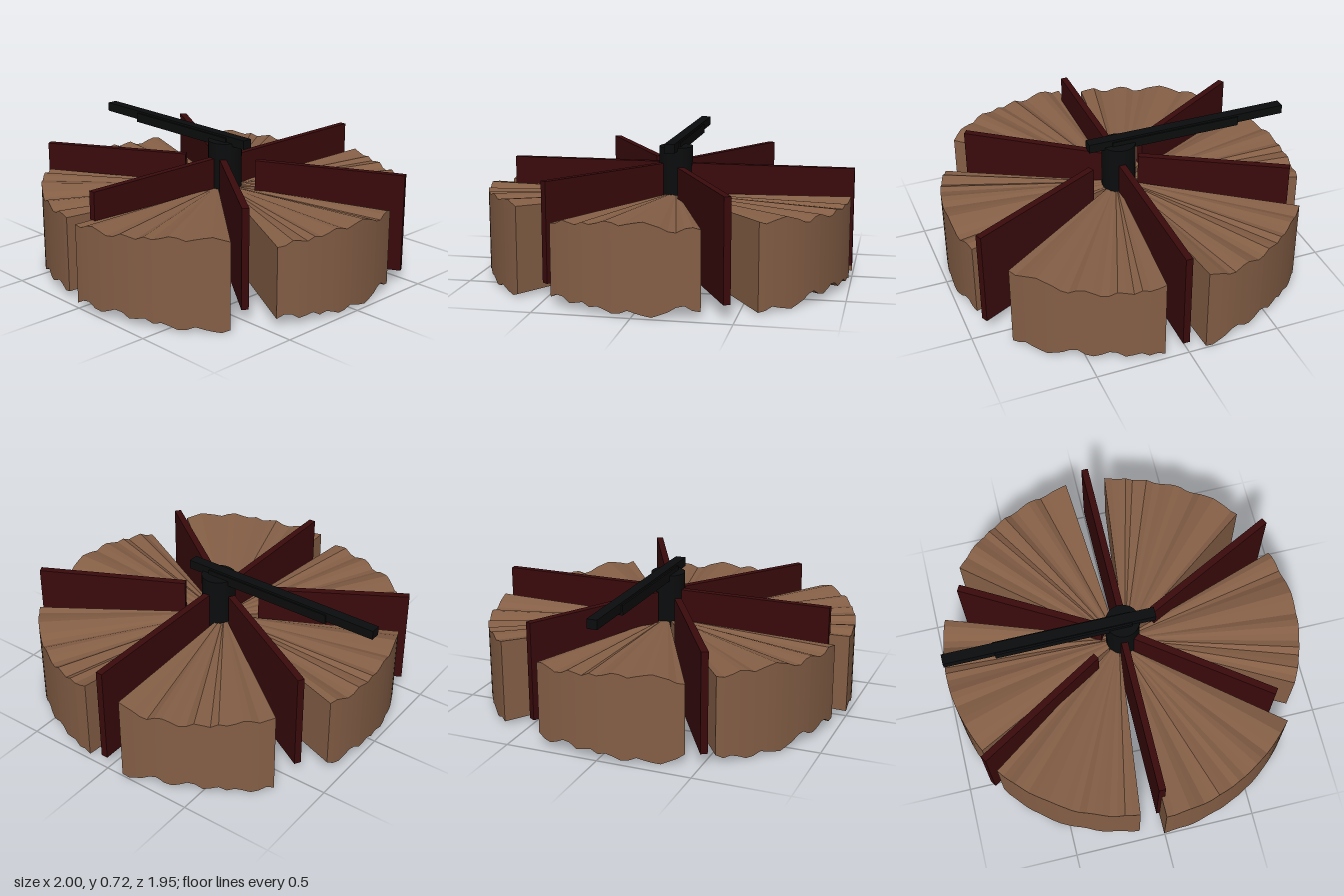
import * as THREE from 'three';

const RADIUS = 0.983;
const rad = THREE.MathUtils.degToRad;

// Pleat heights along the rim; the top rises where the underside drops
const PLEATS = [0, 0.012, 0.006, -0.014, -0.008, 0.012, 0.024, 0.036, 0.03, 0.022, 0.012,
  0.026, 0.03, 0.016, 0.006, 0.014, -0.004, 0.004, 0.01, -0.012, -0.016];

// Pleated wedge: a fan on top, a fan below, a rim wall and two flat sides
function wedgeGeometry(cx, cz, startDeg, endDeg, shift, lift) {
  const n = PLEATS.length;
  const top = [], bottom = [];
  for (let i = 0; i < n; i++) {
    const a = rad(startDeg + (endDeg - startDeg) * i / (n - 1));
    const x = cx + RADIUS * Math.cos(a), z = cz + RADIUS * Math.sin(a);
    const up = PLEATS[(i + shift) % n];
    const down = PLEATS[(i + shift + 1) % n];
    top.push([x, 0.438 + lift + up, z]);
    bottom.push([x, 0.046 - down * 1.2, z]);
  }
  const apexTop = [cx, 0.43, cz], apexBottom = [cx, 0.06, cz];
  const pos = [];
  const tri = (a, b, c) => pos.push(...a, ...b, ...c);
  const quad = (a, b, c, d) => { tri(a, b, c); tri(a, c, d); };
  for (let i = 0; i < n - 1; i++) {
    tri(apexTop, top[i + 1], top[i]);
    tri(apexBottom, bottom[i], bottom[i + 1]);
    quad(bottom[i], top[i], top[i + 1], bottom[i + 1]);
  }
  quad(apexBottom, apexTop, top[0], bottom[0]);
  quad(bottom[n - 1], top[n - 1], apexTop, apexBottom);
  const g = new THREE.BufferGeometry();
  g.setAttribute('position', new THREE.Float32BufferAttribute(pos, 3));
  g.computeVertexNormals();
  return g;
}

export function createModel() {
  const model = new THREE.Group();
  model.name = 'pleatedWheel';

  const brown = new THREE.MeshStandardMaterial({ color: 0x855f46 });
  brown.name = 'brown';
  const darkRed = new THREE.MeshStandardMaterial({ color: 0x3a0a0c });
  darkRed.name = 'darkRed';
  const black = new THREE.MeshStandardMaterial({ color: 0x0b0c0d });
  black.name = 'black';

  const add = (name, geometry, material, x = 0, y = 0, z = 0) => {
    const mesh = new THREE.Mesh(geometry, material);
    mesh.name = name;
    mesh.position.set(x, y, z);
    model.add(mesh);
    return mesh;
  };

  // Six pleated wedges: centre x, centre z, start angle, end angle, pleat shift, rim lift
  [
    ['backWedge', 0.03, 0.005, -117.1, -70.7, 3, 0],
    ['backLeftWedge', 0.015, -0.02, -51.1, -4.4, 8, 0],
    ['frontLeftWedge', 0.013, 0.015, 6.6, 53.8, 12, 0],
    ['frontWedge', 0.024, -0.012, 71.8, 118.2, 0, 0],
    ['frontRightWedge', -0.017, -0.005, 130.1, 180, 5, 0.025],
    ['backRightWedge', 0.02, -0.016, 186.9, 234.2, 16, 0.012],
  ].forEach(([name, ...args]) => add(name, wedgeGeometry(...args), brown));

  // Six upright divider panels: inner x, z to outer x, z
  [
    ['backRightPanel', -0.1, -0.17, -0.515, -0.865],
    ['backLeftPanel', 0.055, -0.1, 0.457, -0.81],
    ['leftPanel', 0.12, 0.018, 1.0, 0.018],
    ['frontLeftPanel', 0.088, 0.185, 0.457, 0.915],
    ['frontRightPanel', -0.04, 0.06, -0.515, 0.71],
    ['rightPanel', -0.06, -0.005, -0.89, -0.005],
  ].forEach(([name, x0, z0, x1, z1]) => {
    const length = Math.hypot(x1 - x0, z1 - z0);
    const panel = add(name, new THREE.BoxGeometry(length, 0.53, 0.037), darkRed,
      (x0 + x1) / 2, 0.337, (z0 + z1) / 2);
    panel.rotation.y = -Math.atan2(z1 - z0, x1 - x0);
  });

  // Central hub and the long arm lying across it
  add('hub', new THREE.CylinderGeometry(0.092, 0.092, 0.63, 32), black, 0.028, 0.375, 0.005);
  add('arm', new THREE.BoxGeometry(0.056, 0.05, 1.145), black, 0.025, 0.7, -0.392);
  add('armBrace', new THREE.BoxGeometry(0.074, 0.052, 0.74), black, 0.024, 0.688, -0.32);

  return model;
}
